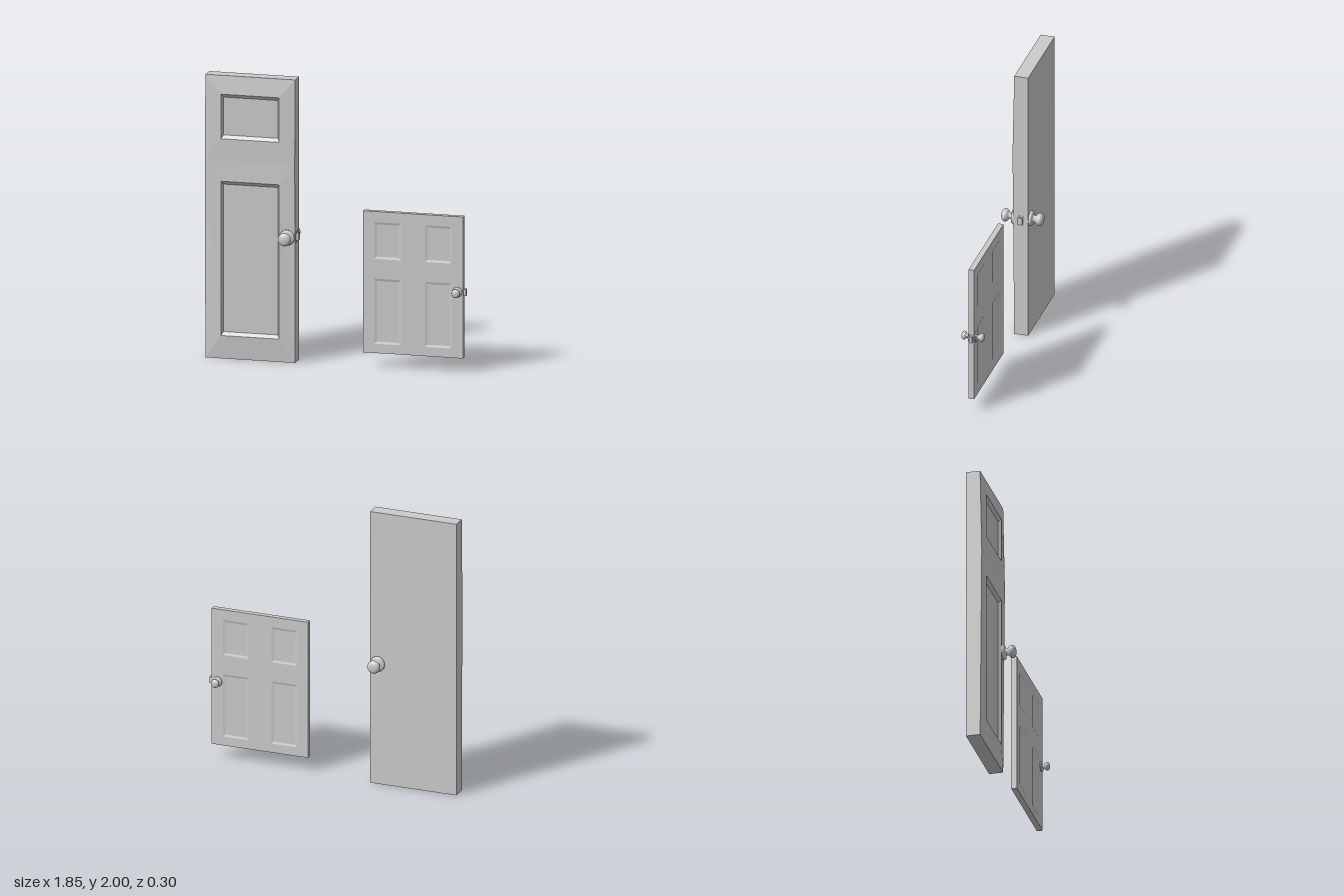
import * as THREE from 'three';

const grey = new THREE.MeshStandardMaterial({ color: 0xcccccc });
const flat = new THREE.MeshStandardMaterial({ color: 0xcccccc, flatShading: true });

// Corners of a rectangle, counter-clockwise seen from +z; z may differ at bottom and top.
function rect(x0, x1, y0, y1, zBottom, zTop = zBottom) {
  return [[x0, y0, zBottom], [x1, y0, zBottom], [x1, y1, zTop], [x0, y1, zTop]];
}

function inset(x0, x1, y0, y1, dx, dy, z) {
  return rect(x0 + dx, x1 - dx, y0 + dy, y1 - dy, z);
}

// Collects polygons and turns them into one faceted mesh.
function faceBuilder() {
  const pos = [];
  const poly = (...pts) => {
    for (let i = 1; i < pts.length - 1; i++) pos.push(...pts[0], ...pts[i], ...pts[i + 1]);
  };
  const ring = (outer, inner) => {
    for (let i = 0; i < 4; i++) {
      const j = (i + 1) % 4;
      poly(outer[i], outer[j], inner[j], inner[i]);
    }
  };
  const mesh = (name) => {
    const geo = new THREE.BufferGeometry();
    geo.setAttribute('position', new THREE.Float32BufferAttribute(pos, 3));
    geo.computeVertexNormals();
    const m = new THREE.Mesh(geo, flat);
    m.name = name;
    return m;
  };
  return { poly, ring, mesh };
}

// Tall door: sloping mitred frame around two recessed panels, plain back.
function tallSlab() {
  const [x0, x1, back, corner, mid, crest, floor] = [-0.93, -0.29, -0.055, 0.045, 0.057, 0.06, 0.04];
  const split = 1.4;
  const b = faceBuilder();
  const sections = [
    { frame: rect(x0, x1, 0, split, corner, mid), panel: [-0.815, -0.4, 0.165, 1.255] },
    { frame: rect(x0, x1, split, 2, mid, corner), panel: [-0.815, -0.4, 1.555, 1.87] },
  ];
  for (const { frame, panel } of sections) {
    const lip = rect(...panel, crest);
    const bed = inset(...panel, 0.013, 0.024, floor);
    b.ring(frame, lip);
    b.ring(lip, bed);
    b.poly(...bed);
  }
  // edges and back
  b.poly([x1, 0, back], [x1, 2, back], [x1, 2, corner], [x1, split, mid], [x1, 0, corner]);
  b.poly([x0, split, mid], [x0, 2, corner], [x0, 2, back], [x0, 0, back], [x0, 0, corner]);
  b.poly([x0, 2, corner], [x1, 2, corner], [x1, 2, back], [x0, 2, back]);
  b.poly([x0, 0, back], [x1, 0, back], [x1, 0, corner], [x0, 0, corner]);
  b.poly(...rect(x0, x1, 0, 2, back).reverse());
  return b.mesh('tallDoorSlab');
}

// Small door: four shallow panels on each face.
function smallSlab() {
  const group = new THREE.Group();
  group.name = 'smallDoorSlab';
  const [x0, x1, y0, y1, half, depth] = [0.185, 0.9, 0.1, 1.1, 0.02, 0.005];
  const cx = (x0 + x1) / 2;
  const face = new THREE.Shape(rect(x0, x1, y0, y1, 0).map(([x, y]) => new THREE.Vector2(x - cx, y)));
  const beds = faceBuilder();
  for (const [px0, px1] of [[-0.275, -0.085], [0.085, 0.275]]) {
    for (const [py0, py1] of [[0.165, 0.625], [0.765, 1.025]]) {
      const lip = rect(px0, px1, py0, py1, half);
      const bed = inset(px0, px1, py0, py1, 0.016, 0.016, half - depth);
      face.holes.push(new THREE.Path([...lip].reverse().map(([x, y]) => new THREE.Vector2(x, y))));
      beds.ring(lip, bed);
      beds.poly(...bed);
    }
  }
  for (const [name, turn] of [['front', 0], ['back', Math.PI]]) {
    const side = new THREE.Group();
    side.name = name + 'Face';
    const frame = new THREE.Mesh(new THREE.ShapeGeometry(face), flat);
    frame.name = name + 'Frame';
    frame.position.z = half;
    side.add(frame, beds.mesh(name + 'Panels'));
    side.position.x = cx;
    side.rotation.y = turn;
    group.add(side);
  }
  const edges = faceBuilder();
  edges.ring(rect(x0, x1, y0, y1, -half), rect(x0, x1, y0, y1, half));
  group.add(edges.mesh('slabEdges'));
  return group;
}

// Turned knob: stepped rose, narrow neck and flattened ball, along +y.
function knobGeometry() {
  const ball = new THREE.SplineCurve([
    [0.029, 0.017], [0.023, 0.026], [0.026, 0.036], [0.039, 0.047],
    [0.046, 0.061], [0.042, 0.076], [0.027, 0.087], [0, 0.091],
  ].map(([r, y]) => new THREE.Vector2(r, y))).getPoints(28);
  ball[ball.length - 1].x = 0;
  const rose = [[0.054, -0.01], [0.054, 0.006], [0.051, 0.011], [0.042, 0.014]]
    .map(([r, y]) => new THREE.Vector2(r, y));
  return new THREE.LatheGeometry([...rose, ...ball], 32);
}

// Pair of knobs with the latch and its plate on the door's edge.
function lockset(name, { x, y, front, back, scale, edge, reach, latchHalf }) {
  const group = new THREE.Group();
  group.name = name;
  const geo = knobGeometry();
  for (const [label, z, dir] of [['frontKnob', front, 1], ['backKnob', back, -1]]) {
    const knob = new THREE.Mesh(geo, grey);
    knob.name = label;
    knob.position.set(x, y, z);
    knob.rotation.x = dir * Math.PI / 2;
    knob.scale.setScalar(scale);
    group.add(knob);
  }
  const latch = new THREE.Mesh(new THREE.BoxGeometry(reach + 0.01, latchHalf * 2, 0.034 * scale), flat);
  latch.name = 'latch';
  latch.position.set(edge + (reach - 0.01) / 2, y, 0);
  const plate = new THREE.Mesh(new THREE.BoxGeometry(0.004, latchHalf * 2.8, 0.045 * scale), flat);
  plate.name = 'latchPlate';
  plate.position.set(edge, y, 0);
  group.add(latch, plate);
  return group;
}

export function createModel() {
  const model = new THREE.Group();
  model.name = 'doors';

  const tall = new THREE.Group();
  tall.name = 'tallDoor';
  tall.add(tallSlab(), lockset('tallDoorLockset', {
    x: -0.345, y: 0.885, front: 0.06, back: -0.06, scale: 1, edge: -0.29, reach: 0.016, latchHalf: 0.027,
  }));

  const small = new THREE.Group();
  small.name = 'smallDoor';
  small.add(smallSlab(), lockset('smallDoorLockset', {
    x: 0.858, y: 0.565, front: 0.021, back: -0.021, scale: 0.66, edge: 0.9, reach: 0.02, latchHalf: 0.023,
  }));

  model.add(tall, small);
  return model;
}
